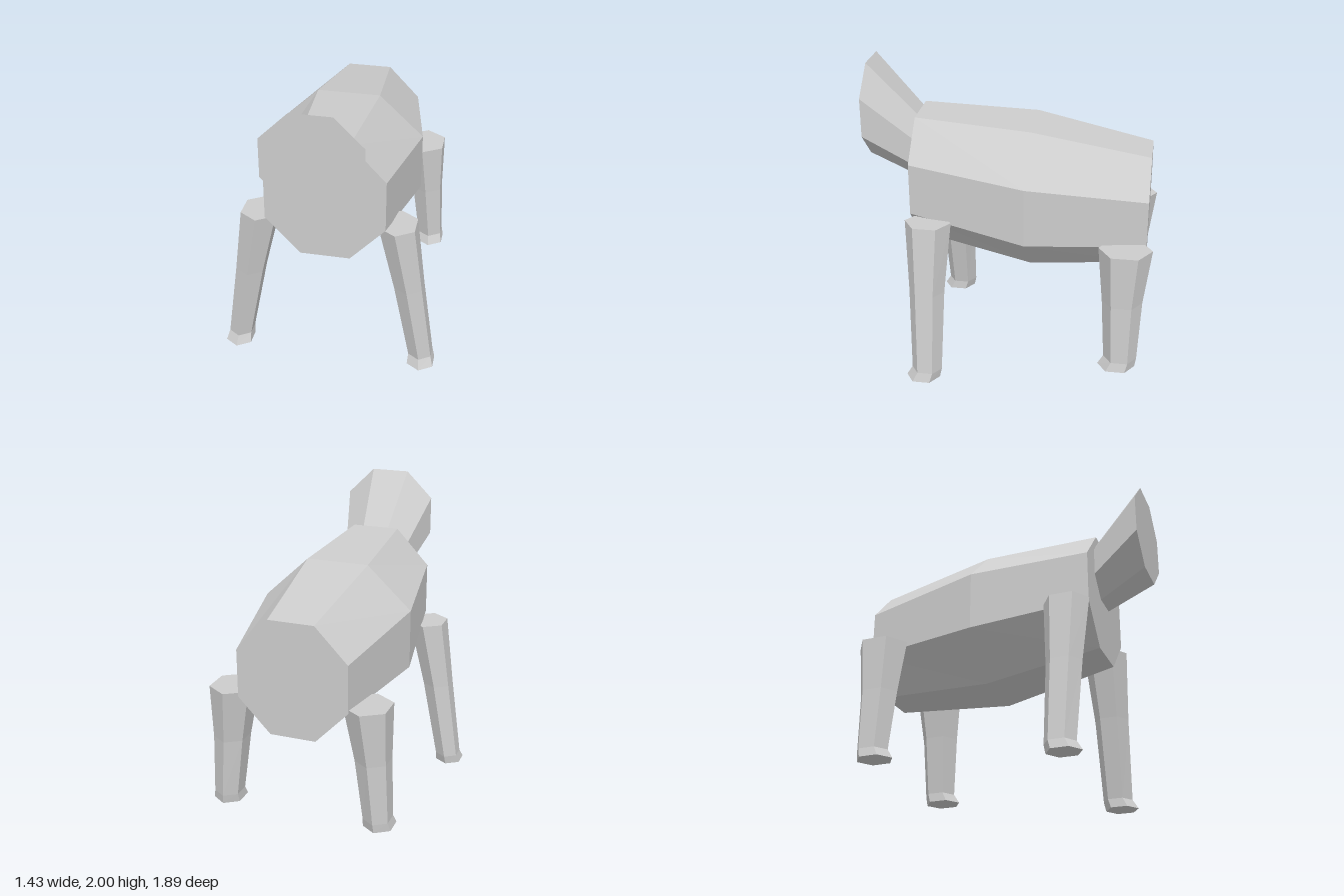
import * as THREE from 'three';

const grey = new THREE.MeshStandardMaterial({ color: 0xcccccc });
grey.name = 'plain grey';

// Skins a list of equal-sized rings with flat facets; rings run counter-clockwise seen from the far end.
function loft(name, rings, capStart = true) {
  const pos = [];
  const tri = (a, b, c) => pos.push(...a, ...b, ...c);
  const n = rings[0].length;
  for (let i = 0; i < rings.length - 1; i++) {
    for (let j = 0; j < n; j++) {
      const k = (j + 1) % n;
      tri(rings[i][j], rings[i][k], rings[i + 1][k]);
      tri(rings[i][j], rings[i + 1][k], rings[i + 1][j]);
    }
  }
  const first = rings[0], last = rings[rings.length - 1];
  for (let j = 1; j < n - 1; j++) {
    tri(last[0], last[j], last[j + 1]);
    if (capStart) tri(first[0], first[j + 1], first[j]);
  }
  const geo = new THREE.BufferGeometry();
  geo.setAttribute('position', new THREE.Float32BufferAttribute(pos, 3));
  geo.computeVertexNormals();
  const mesh = new THREE.Mesh(geo, grey);
  mesh.name = name;
  return mesh;
}

// Upright octagon with flat top, given its half width and half height
function octagon(z, cy, halfW, halfH) {
  const s = 1 / Math.cos(Math.PI / 8);
  return Array.from({ length: 8 }, (_, j) => {
    const a = (j + 0.5) * Math.PI / 4;
    return [Math.cos(a) * s * halfW, cy + Math.sin(a) * s * halfH, z];
  });
}

// Level hexagon with its points along z
function hexagon(y, cx, cz, halfX, halfZ) {
  return Array.from({ length: 6 }, (_, j) => {
    const a = (j + 0.5) * Math.PI / 3;
    return [cx + Math.cos(a) * halfX / Math.cos(Math.PI / 6), y, cz - Math.sin(a) * halfZ];
  });
}

// Leg sections from sole to hip: y, centre x, centre z, half x, half z
const frontLeg = [
  [0, 0.628, 0.525, 0.086, 0.112],
  [0.06, 0.621, 0.5, 0.075, 0.1],
  [0.6, 0.529, 0.504, 0.09, 0.117],
  [1.06, 0.445, 0.501, 0.114, 0.151],
];
const hindLeg = [
  [0.14, 0.517, -0.748, 0.091, 0.122],
  [0.2, 0.512, -0.771, 0.082, 0.108],
  [0.6, 0.478, -0.767, 0.1, 0.13],
  [0.96, 0.445, -0.772, 0.133, 0.172],
];

export function createModel() {
  const model = new THREE.Group();
  model.name = 'fourLeggedAnimal';

  // Barrel body, rump to chest
  model.add(loft('body', [
    octagon(-0.9, 1.095, 0.36, 0.375),
    octagon(-0.13, 1.153, 0.5, 0.467),
    octagon(0.63, 1.25, 0.385, 0.41),
  ]));

  // Flaring head, open where it joins the chest
  model.add(loft('head', [
    octagon(0.63, 1.44, 0.22, 0.22),
    octagon(0.945, 1.693, 0.31, 0.307),
  ], false));

  // Mirrored legs
  for (const [side, label] of [[1, 'left'], [-1, 'right']]) {
    for (const [part, rows] of [['FrontLeg', frontLeg], ['HindLeg', hindLeg]]) {
      model.add(loft(label + part, rows.map(([y, x, z, hx, hz]) => hexagon(y, x * side, z, hx, hz))));
    }
  }
  return model;
}
